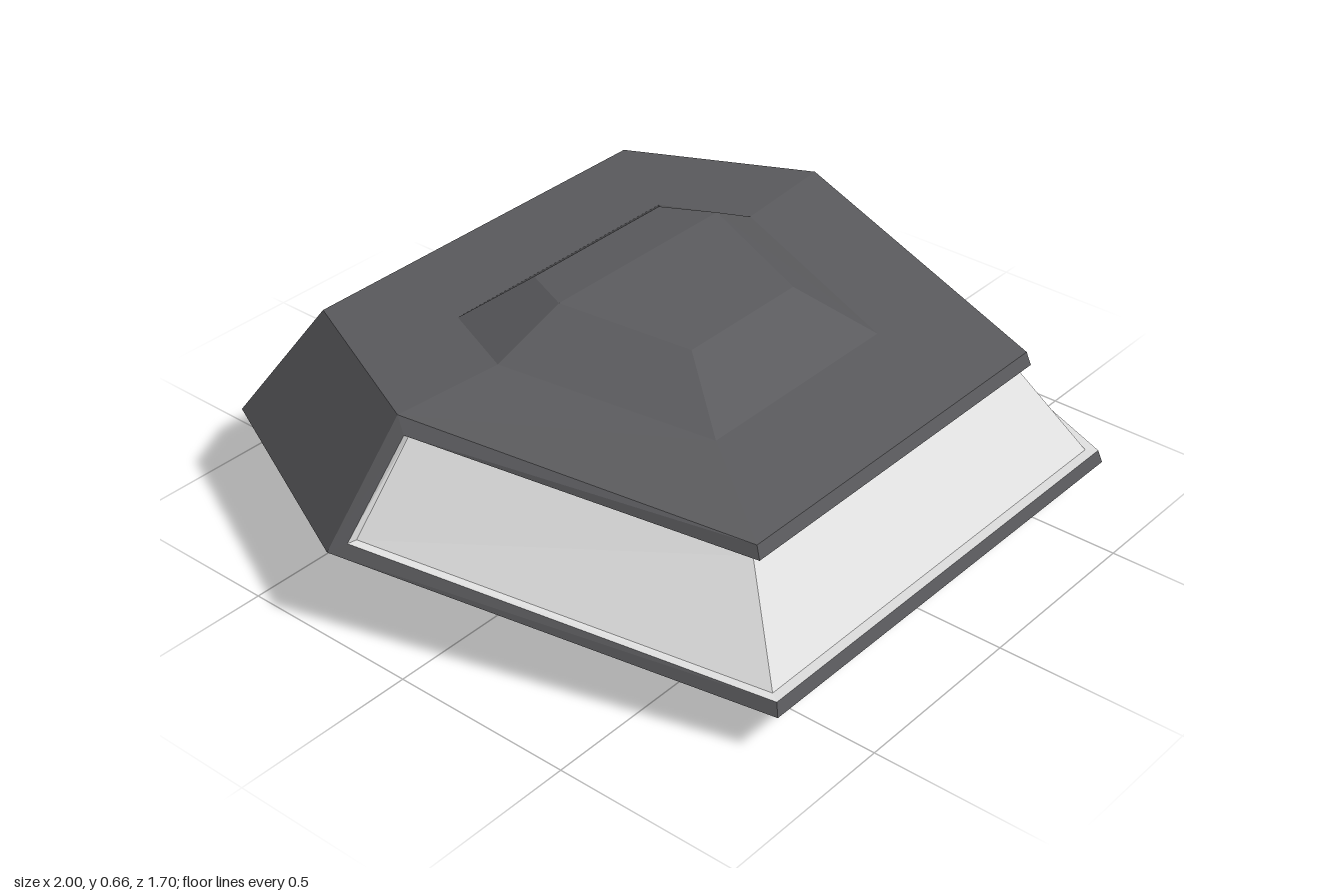
import * as THREE from 'three';

// Half outlines [front, side, back] on the +x side, mirrored into hexagons.
const mirror = ([x, y, z]) => [-x, y, z];
const ring = (half) => [...half, ...half.slice().reverse().map(mirror)];
// Window path running round the front: right side, front corners, left side.
const wrap = ([front, side]) => [mirror(side), mirror(front), front, side];

const strip = (a, b) => a.slice(1).map((p, i) => [a[i], p, b[i + 1], b[i]]);
const loft = (a, b) => strip([...a, a[0]], [...b, b[0]]);
const both = (face) => [face, face.map(mirror).reverse()];

function addPart(group, name, faces, material) {
  const positions = [];
  for (const f of faces) {
    for (let i = 1; i < f.length - 1; i++) positions.push(...f[0], ...f[i], ...f[i + 1]);
  }
  const geometry = new THREE.BufferGeometry();
  geometry.setAttribute('position', new THREE.Float32BufferAttribute(positions, 3));
  geometry.computeVertexNormals();
  const mesh = new THREE.Mesh(geometry, material);
  mesh.name = name;
  group.add(mesh);
}

export function createModel() {
  const group = new THREE.Group();
  group.name = 'cabin';
  const shell = new THREE.MeshStandardMaterial({ color: 0x5a5a5d });
  shell.name = 'dark grey shell';
  const glass = new THREE.MeshStandardMaterial({ color: 0xe0e0e0 });
  glass.name = 'pale glass';

  // Cross-sections from the belly up to the raised roof block
  const belly = [[0.51, 0, 0.62], [0.76, 0.105, -0.18], [0.54, 0.1, -0.67]];
  const rim = [[0.665, 0.125, 0.85], [1, 0.258, -0.23], [0.71, 0.255, -0.85]];
  const top = [[0.535, 0.447, 0.68], [0.79, 0.556, -0.185], [0.565, 0.548, -0.675]];
  const blockBase = [[0.315, 0.485, 0.38], [0.48, 0.556, -0.16], [0.38, 0.552, -0.39]];
  const blockTop = [[0.195, 0.607, 0.205], [0.298, 0.657, -0.125], [0.235, 0.651, -0.265]];

  // Window opening and the recessed glass, [front, side]
  const openLow = [[0.657, 0.16, 0.84], [0.97, 0.285, -0.19]];
  const openHigh = [[0.54, 0.412, 0.692], [0.805, 0.52, -0.152]];
  const glassLow = [[0.638, 0.16, 0.813], [0.945, 0.285, -0.185]];
  const glassHigh = [[0.523, 0.4, 0.66], [0.78, 0.515, -0.155]];

  // Lower hull with a folded belly
  const [f, s, b] = belly;
  addPart(group, 'lowerHull', [
    ...loft(ring(belly), ring(rim)),
    [mirror(f), mirror(b), b, f],
    ...both([b, s, f]),
  ], shell);

  // Solid rear walls, sill, roof lip and rear window pillars
  addPart(group, 'rearWalls', loft(ring(rim), ring(top)).slice(1, 4), shell);
  addPart(group, 'windowFrame', [
    ...strip(wrap(rim), wrap(openLow)),
    ...strip(wrap(openHigh), wrap(top)),
    ...both([openLow[1], rim[1], top[1], openHigh[1]]),
  ], shell);

  // Roof and raised block
  addPart(group, 'roof', loft(ring(top), ring(blockBase)), shell);
  const [tf, ts, tb] = blockTop;
  addPart(group, 'roofBlock', [
    ...loft(ring(blockBase), ring(blockTop)),
    [tf, ts, mirror(ts), mirror(tf)],
    [ts, tb, mirror(tb), mirror(ts)],
  ], shell);

  // Wraparound glass with its recess edges
  addPart(group, 'wraparoundWindow', strip(wrap(glassLow), wrap(glassHigh)), glass);
  addPart(group, 'windowRecess', [
    ...strip(wrap(openLow), wrap(glassLow)),
    ...strip(wrap(glassHigh), wrap(openHigh)),
    ...both([glassLow[1], openLow[1], openHigh[1], glassHigh[1]]),
  ], glass);

  // Rear window, just proud of the back wall
  const low = [0.605, 0.31, -0.822], high = [0.515, 0.492, -0.713];
  addPart(group, 'rearWindow', [[low, mirror(low), mirror(high), high]], glass);

  return group;
}
